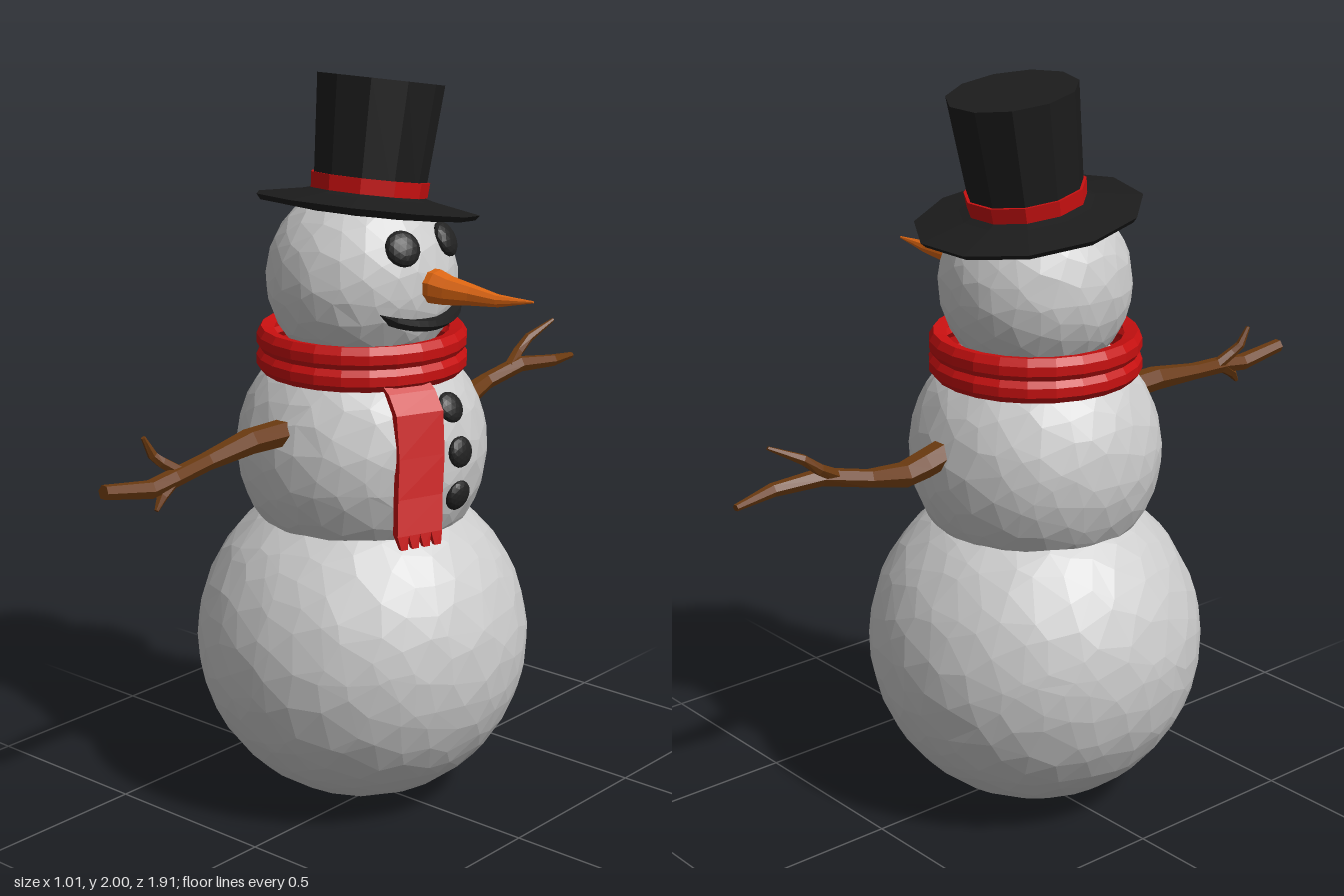
import * as THREE from 'three';
import { mergeVertices } from 'three/addons/utils/BufferGeometryUtils.js';

const V = (x, y, z) => new THREE.Vector3(x, y, z);
const CX = -0.055; // axis of the stacked body
const mat = (color, extra = {}) => new THREE.MeshStandardMaterial({ color, flatShading: true, ...extra });
const snow = mat(0xcccccc), black = mat(0x1c1c1c), coal = mat(0x222222);
const red = mat(0xc81010, { side: THREE.DoubleSide }), wood = mat(0x6b3a10), orange = mat(0xdd6612);

function add(parent, name, geometry, material) {
  const mesh = new THREE.Mesh(geometry, material);
  mesh.name = name;
  parent.add(mesh);
  return mesh;
}

// Closed skin over a row of equal-length rings, each anticlockwise about the path
function loft(rings) {
  const pos = [];
  const tri = (...pts) => pts.forEach((p) => pos.push(p.x, p.y, p.z));
  const n = rings[0].length, last = rings[rings.length - 1];
  for (let i = 0; i < rings.length - 1; i++) {
    for (let j = 0; j < n; j++) {
      const k = (j + 1) % n, a = rings[i], b = rings[i + 1];
      tri(a[j], a[k], b[k]);
      tri(a[j], b[k], b[j]);
    }
  }
  for (let j = 1; j < n - 1; j++) {
    tri(rings[0][0], rings[0][j + 1], rings[0][j]);
    tri(last[0], last[j], last[j + 1]);
  }
  const g = new THREE.BufferGeometry();
  g.setAttribute('position', new THREE.Float32BufferAttribute(pos, 3));
  g.computeVertexNormals();
  return g;
}

// Tapered limb through points [x, y, z, radius]
function limb(points, sides) {
  const p = points.map((q) => V(q[0], q[1], q[2]));
  return loft(p.map((c, i) => {
    const d = p[Math.min(i + 1, p.length - 1)].clone().sub(p[Math.max(i - 1, 0)]).normalize();
    const ref = Math.abs(d.y) > 0.9 ? V(1, 0, 0) : V(0, 1, 0);
    const u = ref.cross(d).normalize(), v = d.clone().cross(u);
    return Array.from({ length: sides }, (_, j) => {
      const a = (j / sides) * Math.PI * 2, r = points[i][3];
      return c.clone().addScaledVector(u, Math.cos(a) * r).addScaledVector(v, Math.sin(a) * r);
    });
  }));
}

// Ball of uneven facets: vertices slide along the surface
function snowball(radius, detail, seed) {
  let g = new THREE.IcosahedronGeometry(1, detail);
  g.deleteAttribute('normal');
  g.deleteAttribute('uv');
  g = mergeVertices(g, 1e-4);
  let s = seed;
  const rnd = () => ((s = (s * 16807) % 2147483647) / 2147483647 - 0.5) * (0.75 / (detail + 1));
  const p = g.attributes.position, v = V(0, 0, 0);
  for (let i = 0; i < p.count; i++) {
    v.fromBufferAttribute(p, i);
    v.add(V(rnd(), rnd(), rnd())).setLength(radius);
    p.setXYZ(i, v.x, v.y, v.z);
  }
  g.computeVertexNormals();
  return g;
}

function lathe(profile, sides) {
  return new THREE.LatheGeometry(profile.map(([r, y]) => new THREE.Vector2(r, y)), sides);
}

// Flattened coal pressed onto a ball of the given centre and radius
function coalPiece(parent, name, size, y, z, cy, R) {
  const n = V(Math.sqrt(R * R - (y - cy) ** 2 - z * z), y - cy, z);
  const m = add(parent, name, new THREE.IcosahedronGeometry(size, 2), coal);
  m.position.set(CX + n.x, y, z);
  m.quaternion.setFromUnitVectors(V(0, 0, 1), n.normalize());
  m.scale.z = 0.5;
}

export function createModel() {
  const root = new THREE.Group();
  root.name = 'snowman';

  // Body
  [['lowerBody', 0.457, 0.457, 6, 11], ['middleBody', 0.34, 1.0, 5, 29], ['head', 0.256, 1.46, 4, 53]]
    .forEach(([name, r, y, detail, seed]) => {
      add(root, name, snowball(r, detail, seed), snow).position.set(CX, y, 0);
    });

  // Eyes and buttons
  coalPiece(root, 'leftEye', 0.049, 1.575, -0.09, 1.46, 0.256);
  coalPiece(root, 'rightEye', 0.049, 1.575, 0.085, 1.46, 0.256);
  [1.155, 1.04, 0.92].forEach((y, i) => coalPiece(root, `button${i + 1}`, 0.042, y, 0, 1.0, 0.342));

  // Carrot nose
  add(root, 'nose', limb([
    [0.15, 1.47, 0.005, 0.045], [0.21, 1.47, 0.005, 0.046], [0.25, 1.465, 0.005, 0.039], [0.32, 1.463, 0.0, 0.028],
    [0.40, 1.460, -0.002, 0.017], [0.45, 1.465, -0.006, 0.010], [0.503, 1.47, -0.012, 0.003],
  ], 9), orange);

  // Crescent smile following the head
  const smile = [];
  for (let i = 0; i <= 12; i++) {
    const t = i / 6 - 1, z = t * 0.155, w = 1 - t * t;
    const lo = 1.41 - 0.055 * Math.sqrt(w), hi = 1.412 - 0.026 * w;
    const at = (y, d) => V(CX + Math.sqrt(0.256 ** 2 - (y - 1.46) ** 2 - z * z) + d, y, z);
    const out = 0.008 + 0.032 * Math.sqrt(w);
    smile.push([at(lo, out * 0.6), at((lo + hi) / 2, out), at(hi, out * 0.8), at(hi, -0.02), at(lo, -0.02)]);
  }
  add(root, 'mouth', loft(smile), coal);

  // Scarf wrap with two folds
  const scarf = new THREE.Group();
  scarf.name = 'scarf';
  root.add(scarf);
  add(scarf, 'scarfWrap', lathe([
    [0.23, 1.225], [0.268, 1.212], [0.283, 1.23], [0.283, 1.255], [0.272, 1.272],
    [0.282, 1.287], [0.282, 1.312], [0.27, 1.332], [0.235, 1.325],
  ], 24), red).position.x = CX;

  // Scarf tail: rows of [y, outer x and z of each edge]
  const strip = (y, x1, z1, x2, z2, thick = 0.022) => [
    V(x1, y, z1), V(x2, y, z2), V(x2 - thick, y, z2 - thick * 0.35), V(x1 - thick, y, z1 - thick * 0.35),
  ];
  add(scarf, 'scarfTail', loft([
    strip(1.26, 0.18, 0.042, 0.13, 0.167), strip(1.21, 0.235, 0.045, 0.185, 0.17),
    strip(1.16, 0.267, 0.05, 0.217, 0.177), strip(1.05, 0.285, 0.065, 0.238, 0.19),
    strip(0.95, 0.298, 0.088, 0.253, 0.213), strip(0.86, 0.315, 0.11, 0.27, 0.235),
  ]), red);
  for (let i = 0; i < 4; i++) {
    const x = 0.315 - i * 0.01125, z = 0.11 + i * 0.03125;
    add(scarf, 'fringe', loft([
      strip(0.86, x, z, x - 0.011, z + 0.031),
      strip(0.825, x + 0.003, z + 0.008, x - 0.003, z + 0.026, 0.012),
    ]), red);
  }

  // Stick arms with twigs
  const arms = {
    rightArm: [[-0.06, 1.095, 0.28, 0.037], [-0.057, 1.1, 0.44, 0.034], [-0.05, 1.085, 0.6, 0.024],
      [-0.035, 1.075, 0.73, 0.024], [-0.035, 1.065, 0.81, 0.024], [-0.045, 1.09, 0.953, 0.019]],
    rightUpperTwig: [[-0.04, 1.075, 0.69, 0.018], [-0.06, 1.115, 0.745, 0.015],
      [-0.07, 1.135, 0.765, 0.013], [-0.075, 1.185, 0.79, 0.006]],
    rightLowerTwig: [[-0.04, 1.075, 0.72, 0.02], [-0.03, 1.04, 0.775, 0.015], [-0.025, 1.01, 0.8, 0.006]],
    leftArm: [[-0.055, 1.065, -0.28, 0.038], [-0.055, 1.04, -0.38, 0.037], [-0.06, 1.03, -0.45, 0.034],
      [-0.075, 1.055, -0.57, 0.024], [-0.055, 1.085, -0.7, 0.024], [-0.03, 1.075, -0.83, 0.018],
      [-0.05, 1.065, -0.952, 0.009]],
    leftTwig: [[-0.06, 1.08, -0.66, 0.02], [-0.075, 1.115, -0.72, 0.016],
      [-0.07, 1.15, -0.765, 0.014], [-0.045, 1.193, -0.85, 0.005]],
  };
  for (const [name, pts] of Object.entries(arms)) add(root, name, limb(pts, 6), wood);

  // Tilted top hat
  const hat = new THREE.Group();
  hat.name = 'hat';
  hat.position.set(-0.068, 1.645, -0.035);
  hat.rotation.x = -0.165;
  root.add(hat);
  add(hat, 'hatBrimAndCrown', lathe([
    [0, -0.03], [0.15, -0.025], [0.29, -0.01], [0.302, 0.004], [0.18, 0.026],
    [0.15, 0.034], [0.172, 0.332], [0, 0.332],
  ], 11), black);
  add(hat, 'hatBand', lathe([[0.148, 0.034], [0.158, 0.034], [0.161, 0.075], [0.15, 0.075]], 11), red);

  return root;
}
